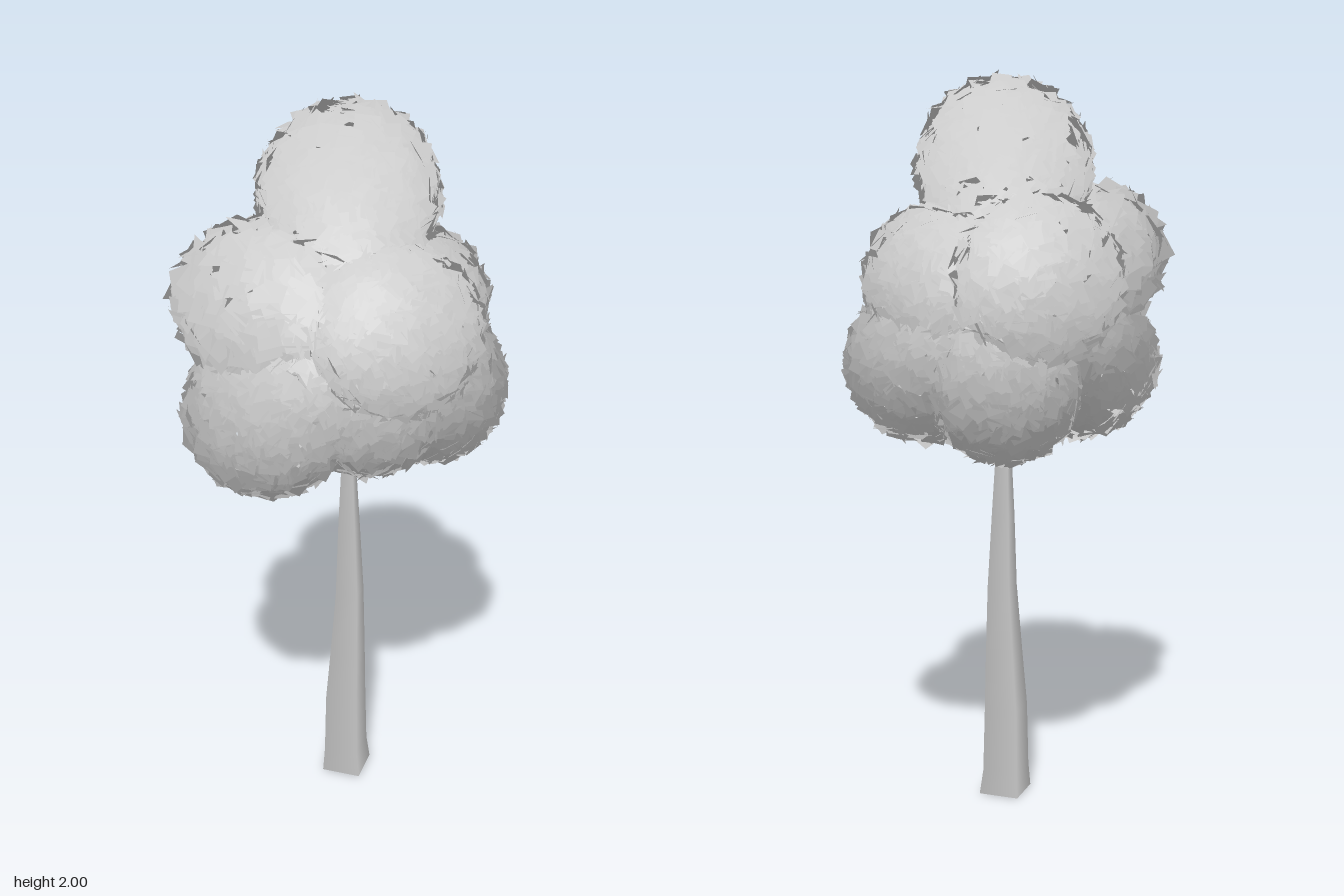
import * as THREE from 'three';
import { mergeGeometries } from 'three/addons/utils/BufferGeometryUtils.js';

// Small seeded generator, returns values in -1..1
function seeded(seed) {
  let s = seed;
  return () => {
    s = (s * 16807) % 2147483647;
    return (s / 2147483647) * 2 - 1;
  };
}

// The whole crown is shaded as one soft volume around this point
const crownCentre = new THREE.Vector3(0.03, 1.3, 0);

// Leaf clump: square cards scattered over a sphere, each spun and tilted
function leafClump(centre, radius, count, leafSize, seed) {
  const rnd = seeded(seed);
  const golden = Math.PI * (3 - Math.sqrt(5));
  const forward = new THREE.Vector3(0, 0, 1);
  const dir = new THREE.Vector3();
  const n = new THREE.Vector3();
  const facing = new THREE.Quaternion();
  const tilt = new THREE.Quaternion();
  const leaves = [];
  for (let i = 0; i < count; i++) {
    const y = 1 - (2 * (i + 0.5)) / count;
    const ring = Math.sqrt(1 - y * y);
    const a = i * golden;
    dir.set(Math.cos(a) * ring, y, Math.sin(a) * ring);
    dir.add(new THREE.Vector3(rnd(), rnd(), rnd()).multiplyScalar(0.1)).normalize();
    const size = leafSize * (1 + 0.12 * rnd());
    const leaf = new THREE.PlaneGeometry(size, size);
    facing.setFromUnitVectors(forward, dir);
    tilt.setFromEuler(new THREE.Euler(rnd() * 0.6, rnd() * 0.6, rnd() * Math.PI));
    leaf.applyQuaternion(facing.multiply(tilt));
    const r = radius - 0.01 + rnd() * 0.006;
    leaf.translate(dir.x * r, dir.y * r, dir.z * r);
    // Normals blend the clump's roundness with that of the whole crown
    const p = leaf.attributes.position;
    n.copy(dir).multiplyScalar(r).add(centre).sub(crownCentre).normalize();
    n.addScaledVector(dir, 0.4).normalize();
    for (let k = 0; k < p.count; k++) leaf.attributes.normal.setXYZ(k, n.x, n.y, n.z);
    leaves.push(leaf);
  }
  return mergeGeometries(leaves);
}

// Trunk: four-sided, tapering and leaning slightly; rows are [y, centre x, centre z, radius]
function trunkGeometry() {
  const rows = [
    [0, 0.026, 0.011, 0.08],
    [0.07, 0.026, 0.006, 0.071],
    [0.25, 0.027, 0.003, 0.066],
    [0.4, 0.031, 0.006, 0.057],
    [0.6, 0.036, 0.008, 0.045],
    [0.8, 0.033, 0.008, 0.035],
    [1.0, 0.031, 0.008, 0.023],
    [1.2, 0.031, 0.006, 0.012],
  ];
  const geo = new THREE.CylinderGeometry(1, 1, 1, 4, rows.length - 1, true);
  const p = geo.attributes.position;
  for (let i = 0; i < p.count; i++) {
    const k = Math.round((p.getY(i) + 0.5) * (rows.length - 1));
    const [y, cx, cz, r] = rows[k];
    p.setXYZ(i, cx + p.getX(i) * r, y, cz + p.getZ(i) * r);
  }
  return geo;
}

export function createModel() {
  const tree = new THREE.Group();
  tree.name = 'tree';
  const material = new THREE.MeshStandardMaterial({ color: 0xcccccc, side: THREE.DoubleSide });

  const trunk = new THREE.Mesh(trunkGeometry(), material);
  trunk.name = 'trunk';
  tree.add(trunk);

  // Clumps: name, centre, radius, leaf count, leaf size
  const clumps = [
    ['crownTop', [0.03, 1.755, 0.004], 0.234, 760, 0.058],
    ['frontClump', [0.045, 1.455, 0.235], 0.218, 760, 0.052],
    ['backClump', [0.048, 1.46, -0.24], 0.218, 680, 0.055],
    ['upperRightClump', [-0.24, 1.515, 0.018], 0.205, 300, 0.072],
    ['upperLeftClump', [0.207, 1.45, 0.03], 0.208, 760, 0.052],
    ['lowerRightClump', [-0.225, 1.225, 0.05], 0.223, 760, 0.052],
    ['lowerLeftClump', [0.228, 1.232, 0.077], 0.218, 760, 0.052],
    ['lowerFrontClump', [0.025, 1.235, 0.125], 0.2, 720, 0.052],
    ['lowerBackClump', [0.095, 1.172, -0.133], 0.198, 700, 0.052],
  ];
  const foliage = new THREE.Group();
  foliage.name = 'foliage';
  clumps.forEach(([name, position, radius, count, size], i) => {
    const centre = new THREE.Vector3(...position);
    const clump = new THREE.Mesh(leafClump(centre, radius, count, size, 1234 + i * 7919), material);
    clump.name = name;
    clump.position.copy(centre);
    foliage.add(clump);
  });
  tree.add(foliage);

  return tree;
}
